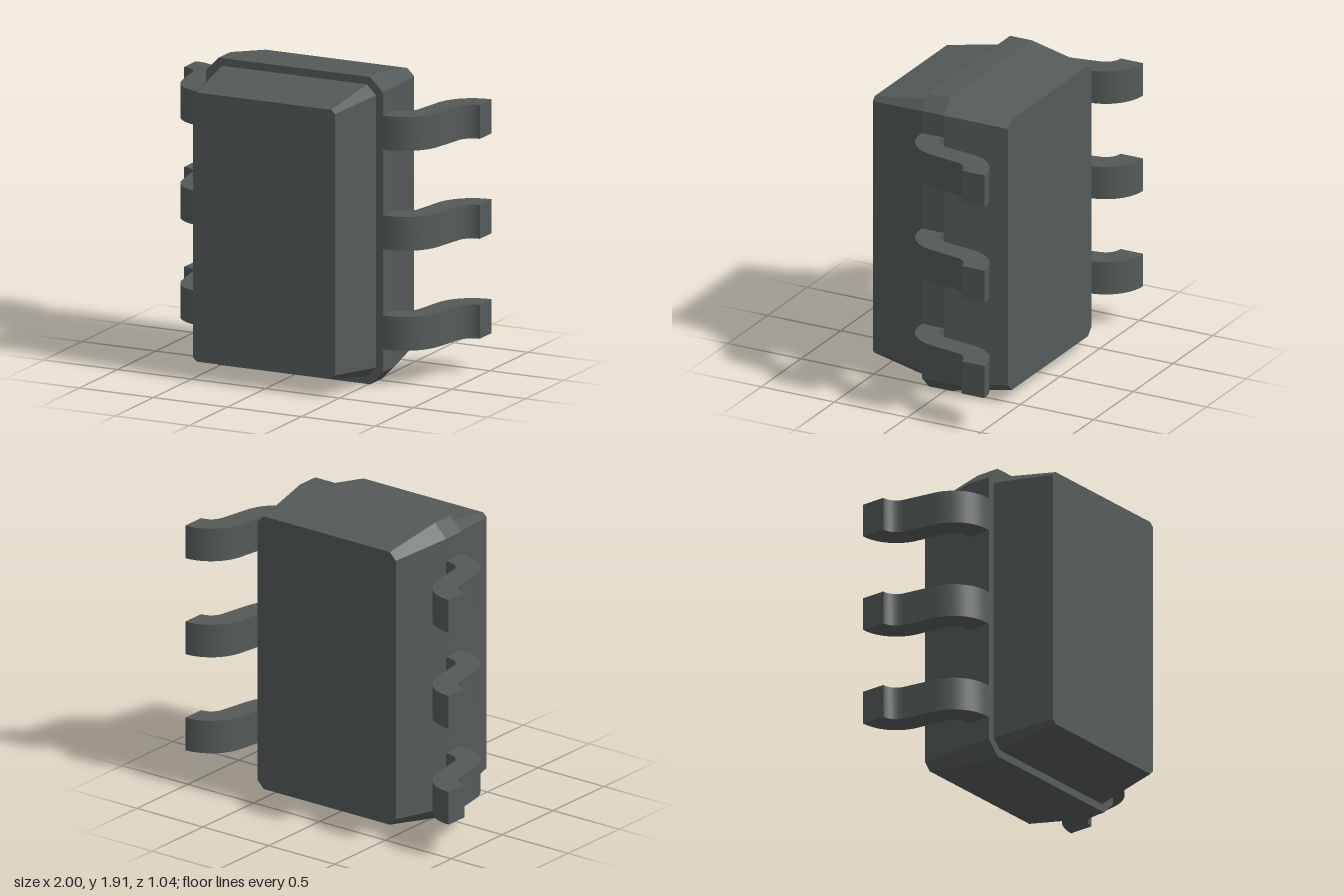
import * as THREE from 'three';
import { toCreasedNormals } from 'three/addons/utils/BufferGeometryUtils.js';

const MID_Y = 0.955;

// Rectangle with cut corners, counter-clockwise seen from +z
function cutRectangle([z, w, h, c]) {
  return [
    [w, -h + c], [w, h - c], [w - c, h], [-w + c, h],
    [-w, h - c], [-w, -h + c], [-w + c, -h], [w - c, -h],
  ].map(([x, y]) => [x, y, z]);
}

// Flat-faced loft through the sections, front to back, with both ends capped
function loft(sections) {
  const rings = sections.map(cutRectangle);
  const n = rings[0].length;
  const pos = [];
  const tri = (...corners) => corners.forEach((p) => pos.push(...p));
  for (let r = 0; r < rings.length - 1; r++) {
    const a = rings[r], b = rings[r + 1];
    for (let i = 0; i < n; i++) {
      const j = (i + 1) % n;
      tri(a[i], b[i], b[j]);
      tri(a[i], b[j], a[j]);
    }
  }
  const front = rings[0], back = rings[rings.length - 1];
  for (let i = 1; i < n - 1; i++) {
    tri(front[0], front[i], front[i + 1]);
    tri(back[0], back[i + 1], back[i]);
  }
  const geo = new THREE.BufferGeometry();
  geo.setAttribute('position', new THREE.Float32BufferAttribute(pos, 3));
  geo.computeVertexNormals();
  return geo;
}

// S-bent strip drawn in x and -z, then extruded along y
function pinGeometry(height) {
  const lean = THREE.MathUtils.degToRad(9);
  const q = Math.PI / 2;
  const s = new THREE.Shape();
  s.moveTo(0.57, -0.12);
  s.lineTo(0.62, -0.12);
  s.absarc(0.62, 0.13, 0.25, -q, -lean, false);
  s.absarc(1, 0.27, 0.1, Math.PI - lean, q, true);
  s.lineTo(1, 0.525);
  s.absarc(1, 0.27, 0.255, q, Math.PI - lean, false);
  s.absarc(0.62, 0.13, 0.1, -lean, -q, true);
  s.lineTo(0.57, 0.03);
  s.closePath();
  const geo = new THREE.ExtrudeGeometry(s, { depth: height, bevelEnabled: false, curveSegments: 14 });
  geo.translate(0, 0, -height / 2);
  geo.rotateX(-Math.PI / 2);
  return toCreasedNormals(geo, 0.5);
}

export function createModel() {
  const model = new THREE.Group();
  model.name = 'chipPackage';
  const darkGrey = new THREE.MeshStandardMaterial({ color: 0x545a59 });
  darkGrey.name = 'darkGrey';

  // Moulded body: z, half width, half height, corner cut
  const body = new THREE.Mesh(loft([
    [0.52, 0.48, 0.835, 0.025],
    [0.12, 0.55, 0.905, 0.06],
    [0.12, 0.597, 0.953, 0.085],
    [-0.03, 0.597, 0.953, 0.085],
    [-0.43, 0.525, 0.88, 0.046],
  ]), darkGrey);
  body.name = 'body';
  body.position.y = MID_Y;
  model.add(body);

  // Three pins on each side
  const pinGeo = pinGeometry(0.21);
  for (const side of ['left', 'right']) {
    for (let i = 0; i < 3; i++) {
      const pin = new THREE.Mesh(pinGeo, darkGrey);
      pin.name = `${side}Pin${i + 1}`;
      pin.position.y = MID_Y + (i - 1) * 0.62;
      if (side === 'right') pin.rotation.z = Math.PI;
      model.add(pin);
    }
  }
  return model;
}
